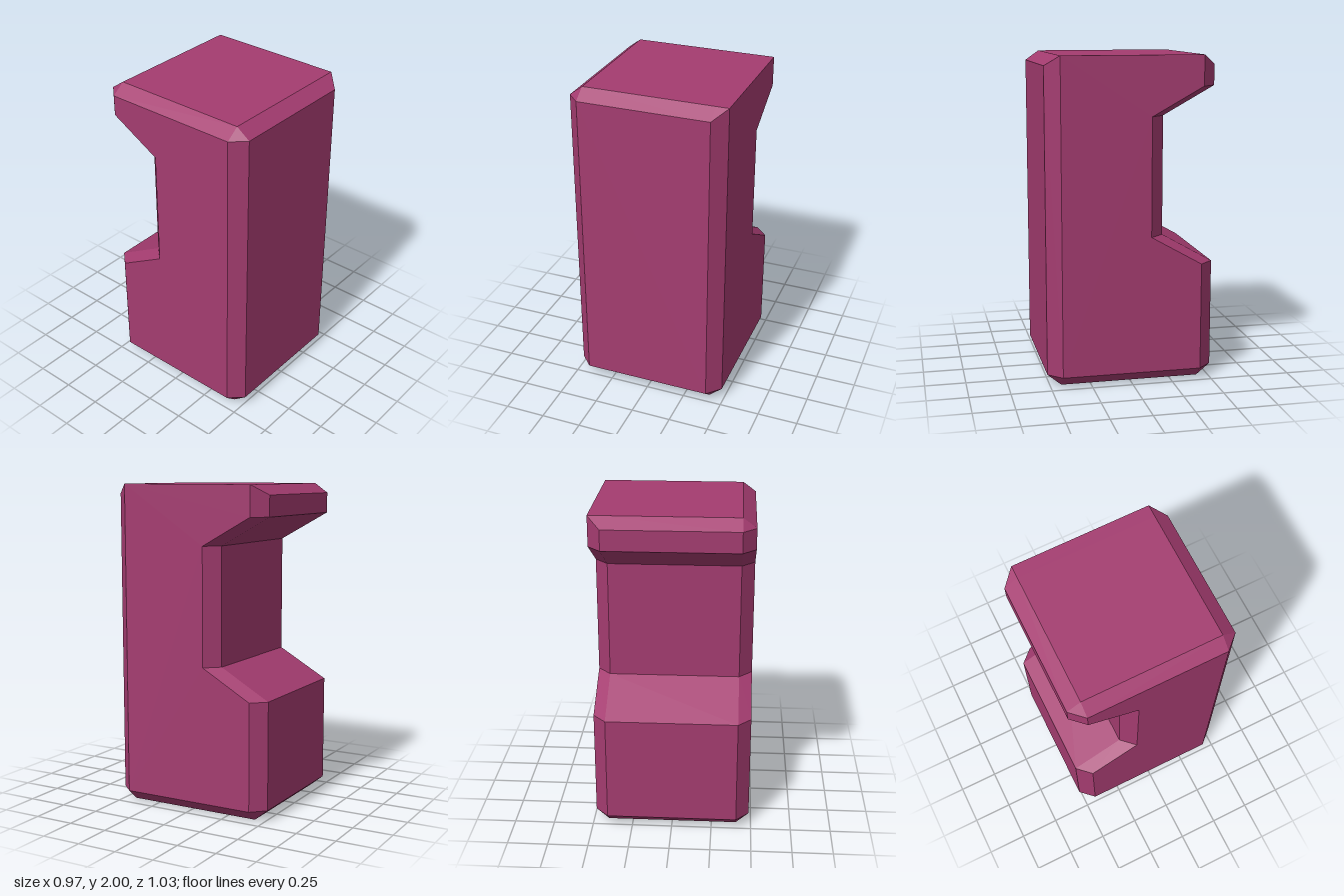
import * as THREE from 'three';

const HALF = 0.485;  // outer half width
const INNER = 0.405; // half width where the bevels begin

// Main profile as [z, y], running along the bottom, up the notched back, over the top, down the front
const profile = [
  [0.43, 0], [-0.43, 0], [-0.515, 0.07], [-0.515, 0.735], [-0.2, 0.915], [-0.2, 1.64],
  [-0.515, 1.815], [-0.515, 1.94], [-0.43, 2], [0.43, 2], [0.515, 1.94], [0.515, 0.07],
];

// Side face profile with the same number of points; top sets whether its upper edge is bevelled
const sideProfile = (top) => [
  [0.43, 0.07], [-0.43, 0.07], [-0.43, 0.07], [-0.43, 0.735], [-0.115, 0.915], [-0.115, 1.64],
  [-0.43, 1.815], [-0.43, top], [-0.43, top], [0.43, top], [0.43, top], [0.43, 0.07],
];

// Triangles that fill the notched side face
const capFaces = [[0, 1, 3], [0, 3, 4], [0, 4, 5], [0, 5, 9], [9, 5, 6], [9, 6, 8]];

function bevelledBlock() {
  const section = (x, pts) => pts.map(([z, y]) => new THREE.Vector3(x, y, z));
  const rings = [
    section(-HALF, sideProfile(1.94)),
    section(-INNER, profile),
    section(INNER, profile),
    section(HALF, sideProfile(2)),
  ];
  const pos = [];
  const tri = (a, b, c) => {
    if (new THREE.Triangle(a, b, c).getArea() < 1e-7) return;
    for (const p of [a, b, c]) pos.push(p.x, p.y, p.z);
  };

  // Skin between neighbouring sections
  for (let r = 0; r < 3; r++) {
    const a = rings[r], b = rings[r + 1];
    for (let i = 0; i < a.length; i++) {
      const j = (i + 1) % a.length;
      tri(a[i], a[j], b[j]);
      tri(a[i], b[j], b[i]);
    }
  }
  // Side faces
  for (const [i, j, k] of capFaces) {
    tri(rings[3][i], rings[3][j], rings[3][k]);
    tri(rings[0][i], rings[0][k], rings[0][j]);
  }

  const geometry = new THREE.BufferGeometry();
  geometry.setAttribute('position', new THREE.Float32BufferAttribute(pos, 3));
  geometry.computeVertexNormals();
  return geometry;
}

export function createModel() {
  const group = new THREE.Group();
  group.name = 'notchedBlock';
  const plum = new THREE.MeshStandardMaterial({ color: 0xa43c70 });
  plum.name = 'plum';
  const body = new THREE.Mesh(bevelledBlock(), plum);
  body.name = 'body';
  group.add(body);
  return group;
}
